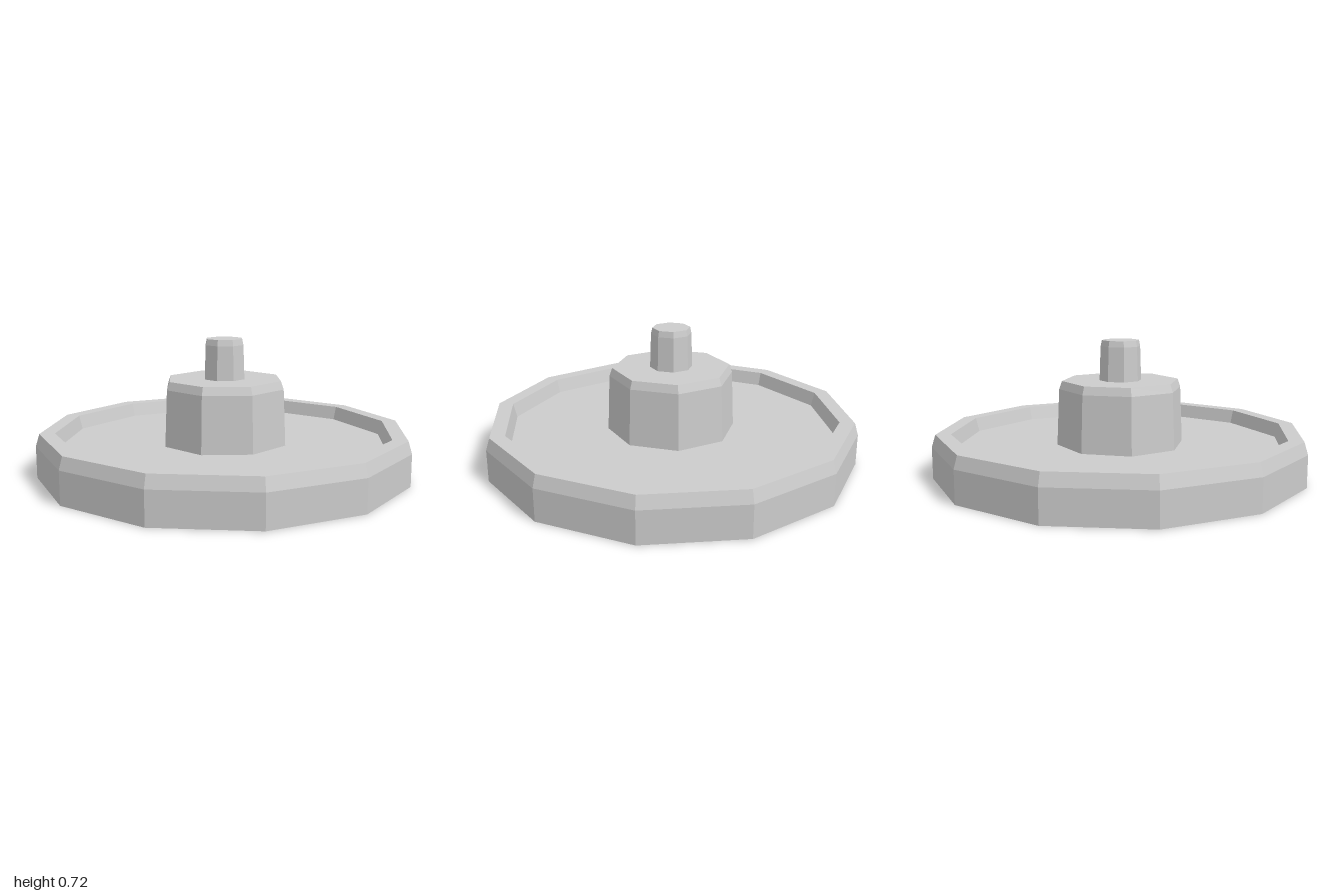
import * as THREE from 'three';

const material = new THREE.MeshStandardMaterial({ color: 0xcccccc, flatShading: true });

// Faceted solid turned around the y axis from [radius, height] pairs, bottom to top
function turned(name, sides, profile) {
  const points = profile.map(([r, y]) => new THREE.Vector2(r, y));
  const mesh = new THREE.Mesh(new THREE.LatheGeometry(points, sides), material);
  mesh.name = name;
  return mesh;
}

export function createModel() {
  const group = new THREE.Group();
  group.name = 'steppedDisc';
  const floor = 0.16;
  const hubTop = 0.503;

  // Shallow dish with a bevelled rim and recessed floor
  group.add(turned('dish', 12, [
    [0, 0], [1, 0], [1, 0.17], [0.98, 0.235], [0.9, 0.235], [0.88, floor], [0, floor],
  ]));

  // Tapered hub standing on the dish floor
  group.add(turned('hub', 8, [
    [0.343, floor], [0.33, 0.46], [0.315, hubTop], [0, hubTop],
  ]));

  // Slim post on the hub
  group.add(turned('post', 8, [
    [0.113, hubTop], [0.107, 0.685], [0.1, 0.717], [0, 0.717],
  ]));

  return group;
}
